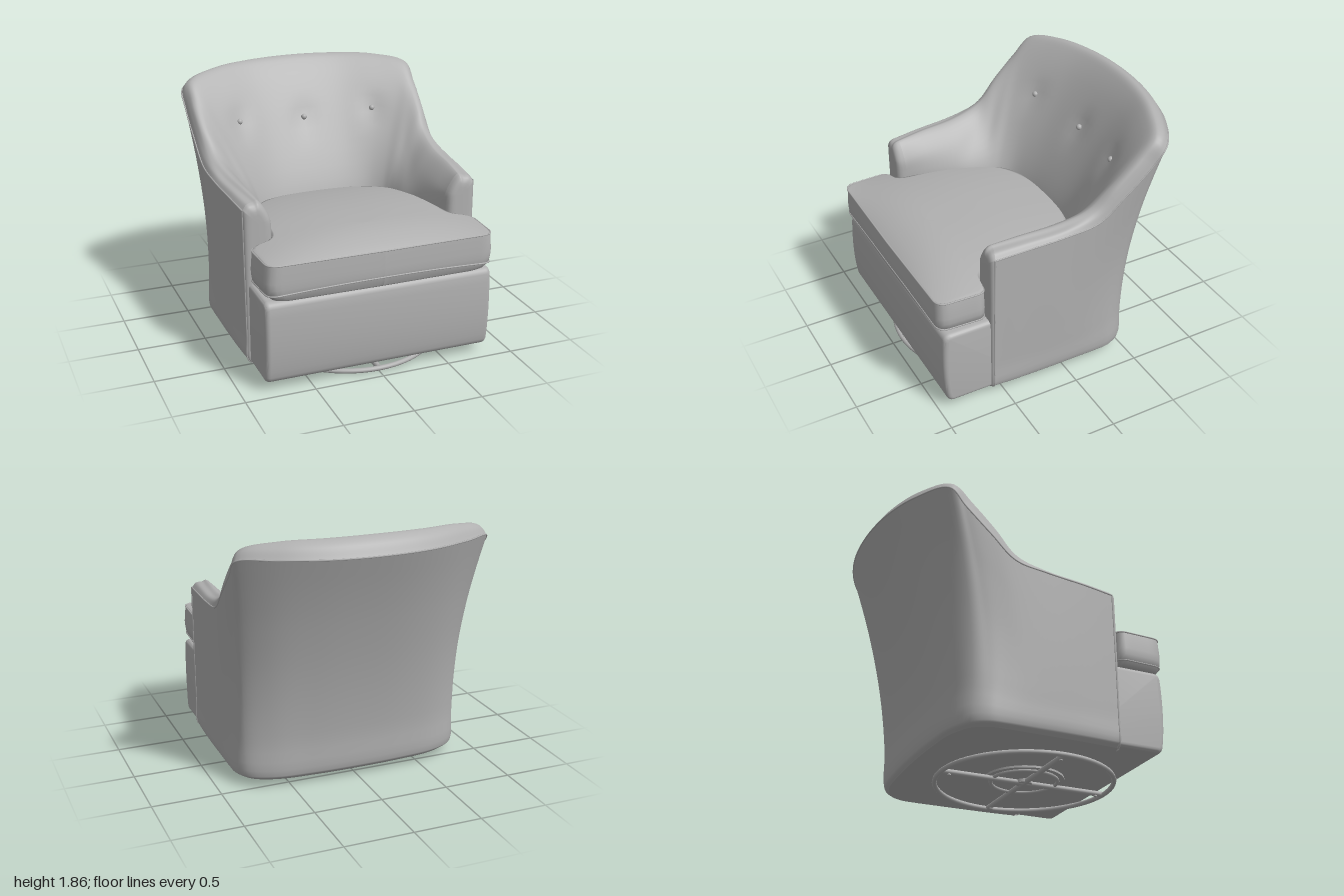
import * as THREE from 'three';
import { toCreasedNormals } from 'three/addons/utils/BufferGeometryUtils.js';

const { lerp, clamp } = THREE.MathUtils;
const V = (x, y, z) => new THREE.Vector3(x, y, z);
const flip = (p) => V(-p.x, p.y, p.z);
const spline = (pts, n, closed = false) => new THREE.CatmullRomCurve3(pts, closed).getPoints(n);

// Shell guide lines, from the middle of the back round to the front of the left arm
const bottomLine = [[0, -.6], [.35, -.59], [.62, -.56], [.79, -.48], [.855, -.37], [.865, -.25], [.865, -.1], [.865, .15], [.86, .4], [.85, .585]]
  .map(([x, z]) => V(x, .09, z));
const seamLine = [[0, 1.74, -.995], [.36, 1.74, -.96], [.68, 1.74, -.85], [.915, 1.72, -.69], [.925, 1.6, -.58], [.92, 1.42, -.38],
  [.91, 1.27, -.2], [.9, 1.23, .05], [.88, 1.21, .35], [.86, 1.19, .575]].map((p) => V(...p));
const crownLine = [[0, 1.86, -.87], [.34, 1.855, -.84], [.64, 1.84, -.75], [.86, 1.785, -.63], [.885, 1.66, -.51], [.88, 1.49, -.33],
  [.865, 1.34, -.18], [.84, 1.27, .05], [.81, 1.25, .35], [.78, 1.235, .55]].map((p) => V(...p));
const innerLine = [[0, 1.44, -.565], [.3, 1.44, -.54], [.53, 1.44, -.465], [.65, 1.4, -.38], [.68, 1.33, -.29], [.69, 1.25, -.2],
  [.68, 1.18, -.08], [.665, 1.15, .1], [.66, 1.14, .37], [.665, 1.12, .545]].map((p) => V(...p));
const seatLine = [[0, -.3], [.26, -.285], [.41, -.24], [.485, -.17], [.51, -.11], [.525, -.05], [.545, .05], [.58, .18], [.62, .4], [.65, .54]]
  .map(([x, z]) => V(x, .91 + .09 * clamp((z + .1) / .5, 0, 1), z));
// How far each station is drawn in at mid height, rounding the back corners
const cornerTuck = [0, 0, .015, .04, .04, .025, .008, 0, 0, 0];

// Cross-sections of the shell at station i
function outerSection(i) {
  const b = bottomLine[i], t = seamLine[i];
  const pts = [V(b.x * .96, .055, b.z < 0 ? b.z * .95 : b.z)];
  for (const k of [0, .15, .32, .5, .7, .85, 1]) {
    const tuck = cornerTuck[i] * Math.sin(Math.PI * k);
    pts.push(V(lerp(b.x, t.x, k ** .7) - tuck, lerp(b.y, t.y, k), lerp(b.z, t.z, k ** 1.65) + tuck));
  }
  return spline(pts, 28);
}
function innerSection(i) {
  const seam = seamLine[i], c = crownLine[i], n = innerLine[i], s = seatLine[i];
  const roll = seam.clone().lerp(c, .42);
  roll.y += .2 * seam.distanceTo(c);
  const shoulder = c.clone().lerp(n, .27);
  shoulder.y += .04;
  return spline([seam, roll, c, shoulder, n, s, V(s.x, .62, s.z + (i < 5 ? .05 : 0))], 36);
}

// Smooth surface over rows of points; the front side is row direction x column direction
function gridGeometry(rows) {
  const n = rows[0].length, index = [];
  for (let i = 0; i < rows.length - 1; i++) {
    for (let j = 0; j < n - 1; j++) {
      const a = i * n + j, b = a + n;
      index.push(a, b, b + 1, a, b + 1, a + 1);
    }
  }
  const geo = new THREE.BufferGeometry().setFromPoints(rows.flat());
  geo.setIndex(index);
  geo.computeVertexNormals();
  return geo;
}

// Mirrors half the sections and joins them with smooth lengthwise curves
function loft(sections) {
  const all = [...sections].reverse().concat(sections.slice(1).map((s) => s.map(flip)));
  const columns = all[0].map((_, j) => spline(all.map((s) => s[j]), 108));
  return columns[0].map((_, i) => columns.map((c) => c[i]));
}

// Closed T-shaped cushion outline with rounded corners
function cushionOutline() {
  const s = new THREE.Shape();
  s.moveTo(0, .992);
  s.lineTo(.75, .985);
  s.quadraticCurveTo(.82, .98, .825, .91);
  s.lineTo(.835, .69);
  s.quadraticCurveTo(.835, .63, .78, .63);
  s.lineTo(.72, .625);
  s.quadraticCurveTo(.66, .61, .65, .5);
  s.lineTo(.6, .03);
  s.quadraticCurveTo(.56, -.35, 0, -.35);
  const half = s.getSpacedPoints(70).map((p) => V(p.x, 0, p.y));
  return half.concat(half.slice(0, -1).reverse().map(flip));
}

// Base front: gently bowed side profile extruded across the width
function baseGeometry() {
  const s = new THREE.Shape();
  s.moveTo(.3, .065);
  s.lineTo(.89, .065);
  s.quadraticCurveTo(.93, .065, .942, .11);
  s.bezierCurveTo(.968, .25, .968, .45, .955, .61);
  s.quadraticCurveTo(.95, .662, .9, .665);
  s.lineTo(.3, .665);
  const bevel = .035, width = 1.67;
  const geo = new THREE.ExtrudeGeometry(s, {
    depth: width - 2 * bevel, bevelSize: bevel, bevelThickness: bevel, bevelOffset: -bevel, bevelSegments: 5, curveSegments: 10 });
  geo.translate(0, 0, bevel - width / 2);
  geo.rotateY(-Math.PI / 2);
  return toCreasedNormals(geo, .6);
}

export function createModel() {
  const group = new THREE.Group();
  group.name = 'swivelArmchair';
  const fabric = new THREE.MeshStandardMaterial({ color: 0xb0b0b0, side: THREE.DoubleSide });
  fabric.name = 'grey';
  const add = (name, geo, x = 0, y = 0, z = 0) => {
    const mesh = new THREE.Mesh(geo, fabric);
    mesh.name = name;
    mesh.position.set(x, y, z);
    group.add(mesh);
  };
  const piping = (name, pts, closed = false) =>
    add(name, new THREE.TubeGeometry(new THREE.CatmullRomCurve3(pts, closed), pts.length * 2, .006, 6, closed));

  // Outer shell and its underside
  const stations = seamLine.map((_, i) => i);
  const outer = loft(stations.map(outerSection));
  add('outerShell', gridGeometry(outer));
  add('underside', gridGeometry(outer.map((r) => [V(0, .055, r[0].z), r[0]])));

  // Inside back and arms, dimpled at the buttons
  const inner = loft(stations.map(innerSection));
  const buttons = [[-.535, 1.475], [0, 1.44], [.535, 1.475]];
  const innerPoints = inner.flat();
  for (const p of innerPoints) {
    let pull = 0;
    for (const [x, y] of buttons) pull += .022 * Math.exp(-((p.x - x) ** 2 + (p.y - y) ** 2) / .008);
    if (p.z < -.2) p.z -= pull;
  }
  add('insideBackAndArms', gridGeometry(inner));
  for (const [x, y] of buttons) {
    const near = (p) => (p.x - x) ** 2 + (p.y - y) ** 2;
    const spot = innerPoints.reduce((a, b) => (near(b) < near(a) ? b : a));
    add('button', new THREE.SphereGeometry(.022, 16, 12), x, y, spot.z + .012);
  }
  piping('rimPiping', outer.map((r) => r[r.length - 1]));

  // Arm fronts, rounded over from the edge to a flat middle
  const last = stations.length - 1;
  const sideEdge = outerSection(last);
  const edge = sideEdge.concat(innerSection(last).slice(1));
  const panel = [[1, 1], [.6, 1], [.4, .97], [.24, .86], [.12, .66], [.04, .36], [0, 0]].map(([inset, rise]) =>
    edge.map((p) => {
      const q = p.clone().lerp(V(.76, Math.min(p.y, 1.1), p.z), inset);
      q.z = lerp(p.z, .608, rise);
      return q;
    }));
  add('leftArmFront', gridGeometry(panel));
  add('rightArmFront', gridGeometry([...panel].reverse().map((r) => r.map(flip))));
  piping('leftArmPiping', sideEdge);
  piping('rightArmPiping', sideEdge.map(flip));

  add('baseFront', baseGeometry());

  // Seat cushion: rings of the outline, crowned on top and sloping down to the back
  const outline = cushionOutline();
  const sag = (p) => .025 * (1 - (p.x / .84) ** 2);
  const ring = (s, y) => outline.map((p) => V(p.x * s, y, .68 + (p.z - .68) * s));
  const crown = (p) => {
    const front = 1 - (1 - clamp((.99 - p.z) / .45, 0, 1)) ** 3;
    const slope = .1 * (Math.max(0, .5 - p.z) / .8) ** 2;
    p.y = .935 + .095 * Math.max(0, 1 - Math.abs(p.x / .85) ** 2.5) * front - slope;
    return p;
  };
  const lowerSeam = ring(.997, .718);
  for (const p of lowerSeam) p.y += sag(p);
  const rings = [[0, .665], [.6, .665], [.9, .668], [.95, .682]].map(([s, y]) => ring(s, y));
  rings.push(lowerSeam);
  for (const [s, y] of [[1.006, .765], [1.01, .81]]) rings.push(ring(s, y));
  const topSeam = ring(.997, .935);
  for (const p of topSeam) p.y -= .13 * clamp((.5 - p.z) / .8, 0, 1);
  rings.push(topSeam);
  for (const s of [.985, .96, .92, .85, .75, .6, .45, .3, .15, 0]) rings.push(ring(s, 0).map(crown));
  add('seatCushion', gridGeometry(rings));
  piping('cushionTopPiping', topSeam.slice(0, -1), true);
  piping('cushionBottomPiping', lowerSeam.slice(0, -1), true);

  // Swivel base: floor ring, cross spokes, hub and mounting plate
  const flatRing = (name, radius, tube, y) => {
    const geo = new THREE.TorusGeometry(radius, tube, 10, 64);
    geo.rotateX(Math.PI / 2);
    add(name, geo, 0, y, .28);
  };
  flatRing('floorRing', .642, .018, .022);
  flatRing('bearingRing', .24, .014, .035);
  for (const turn of [0, Math.PI / 2]) {
    const spoke = new THREE.CylinderGeometry(.02, .02, 1.27, 10);
    spoke.rotateZ(Math.PI / 2);
    spoke.rotateY(turn);
    add('spoke', spoke, 0, .025, .28);
    for (const side of [-1, 1]) {
      add('floorGlide', new THREE.CylinderGeometry(.014, .014, .012, 10),
        side * .58 * Math.cos(turn), .006, .28 + side * .58 * Math.sin(turn));
    }
  }
  add('hub', new THREE.CylinderGeometry(.06, .06, .04, 24), 0, .035, .28);
  add('mountingPlate', new THREE.CylinderGeometry(.29, .29, .02, 40), 0, .05, .28);
  return group;
}
